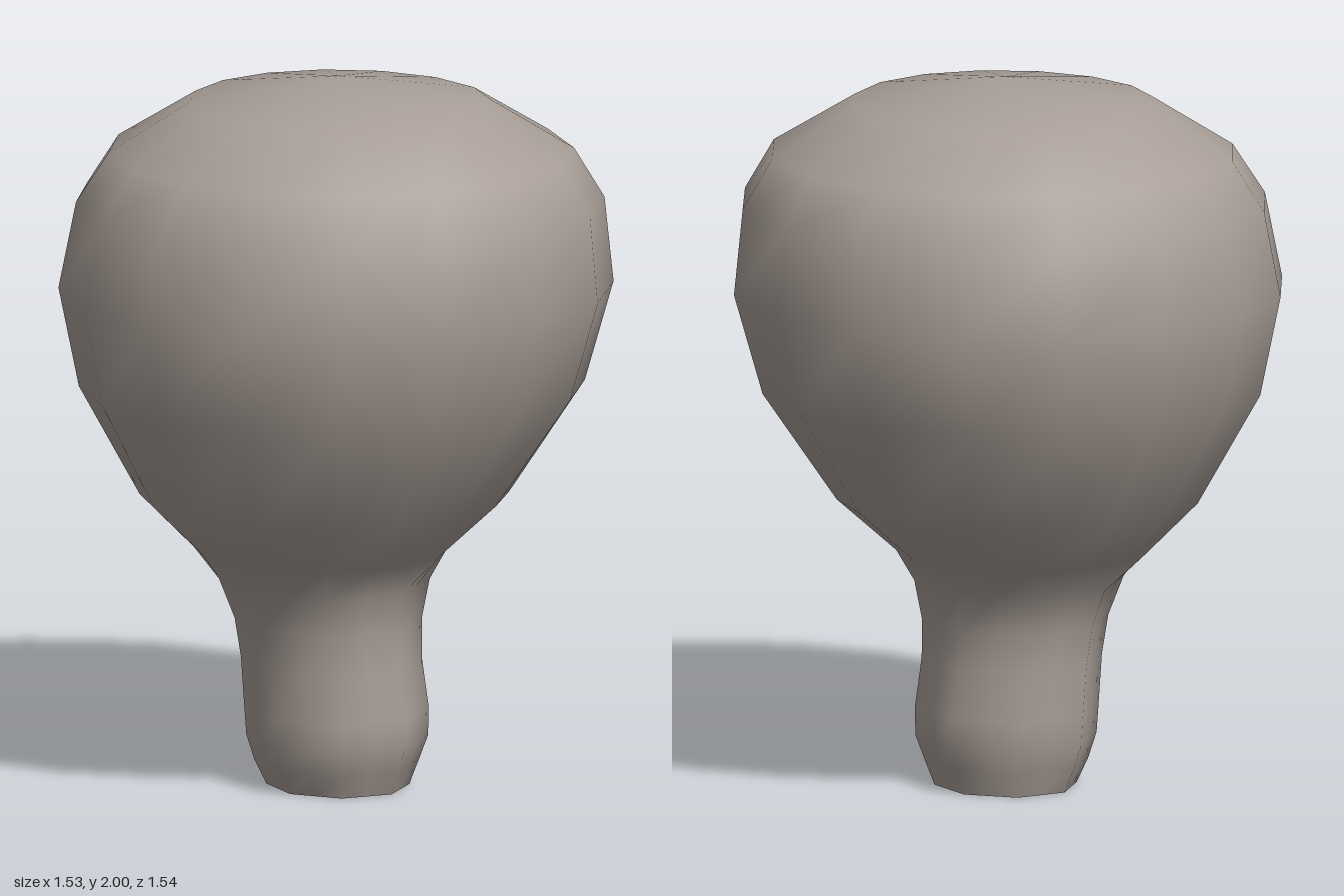
import * as THREE from 'three';

const SIDES = 16;

// Cross-sections from the base up: [y, min x, max x, min z, max z]
const RINGS = [
  [0.00, -0.20, 0.18, -0.19, 0.22],
  [0.07, -0.235, 0.205, -0.22, 0.25],
  [0.14, -0.255, 0.225, -0.245, 0.28],
  [0.22, -0.26, 0.23, -0.25, 0.28],
  [0.36, -0.265, 0.215, -0.255, 0.265],
  [0.47, -0.28, 0.22, -0.27, 0.265],
  [0.58, -0.32, 0.25, -0.31, 0.285],
  [0.67, -0.385, 0.315, -0.38, 0.33],
  [0.82, -0.54, 0.49, -0.53, 0.485],
  [1.13, -0.71, 0.695, -0.71, 0.69],
  [1.41, -0.77, 0.765, -0.77, 0.772],
  [1.65, -0.72, 0.73, -0.73, 0.75],
  [1.79, -0.63, 0.64, -0.64, 0.67],
  [1.93, -0.41, 0.41, -0.41, 0.44],
];

function ringPoints([y, x0, x1, z0, z1]) {
  const points = [];
  for (let i = 0; i < SIDES; i++) {
    let a = (i / SIDES) * Math.PI * 2;
    // the bulb is slightly twisted on one side
    if (y > 1) a += 0.04 * (1 + Math.sin(a - Math.PI / 4));
    // the stem is eight-sided: every other point lies on a flat
    const r = y < 0.6 && i % 2 ? Math.cos(Math.PI / 8) : 1;
    points.push(
      (x0 + x1) / 2 + ((x1 - x0) / 2) * r * Math.sin(a),
      y,
      (z0 + z1) / 2 + ((z1 - z0) / 2) * r * Math.cos(a)
    );
  }
  return points;
}

function makeGeometry(positions, index) {
  const geometry = new THREE.BufferGeometry();
  geometry.setAttribute('position', new THREE.Float32BufferAttribute(positions, 3));
  geometry.setIndex(index);
  geometry.computeVertexNormals();
  return geometry;
}

export function createModel() {
  const group = new THREE.Group();
  group.name = 'bulb';
  const material = new THREE.MeshStandardMaterial({ color: 0xa89e97 });
  material.name = 'warm grey';

  // Smooth skin: stem, flare and bulb in one closed loop surface
  const positions = RINGS.flatMap(ringPoints);
  const index = [];
  const top = RINGS.length * SIDES;
  positions.push(0, 2, 0.01);
  for (let r = 0; r < RINGS.length; r++) {
    for (let i = 0; i < SIDES; i++) {
      const a = r * SIDES + i;
      const b = r * SIDES + ((i + 1) % SIDES);
      if (r === RINGS.length - 1) index.push(a, b, top);
      else index.push(a, b, b + SIDES, a, b + SIDES, a + SIDES);
    }
  }
  const body = new THREE.Mesh(makeGeometry(positions, index), material);
  body.name = 'bulbAndStem';
  group.add(body);

  // Flat base with a sharp rim
  const capIndex = [];
  for (let i = 1; i < SIDES - 1; i++) capIndex.push(0, i + 1, i);
  const base = new THREE.Mesh(makeGeometry(ringPoints(RINGS[0]), capIndex), material);
  base.name = 'base';
  group.add(base);

  return group;
}
